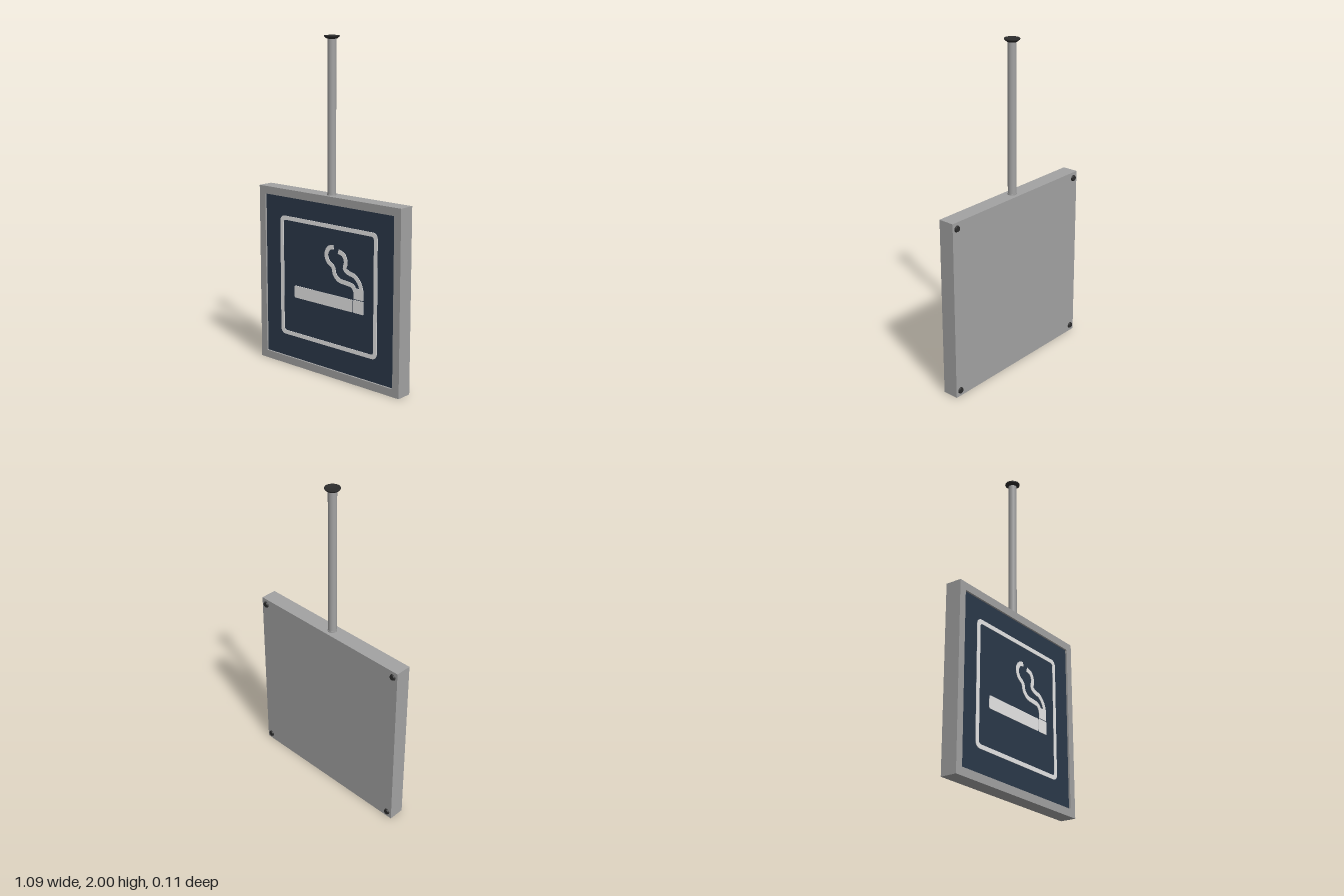
import * as THREE from 'three';

const material = (name, color) => {
  const m = new THREE.MeshStandardMaterial({ color });
  m.name = name;
  return m;
};

export function createModel() {
  const metal = material('grey metal', 0xa2a2a2);
  const navy = material('navy panel', 0x2b394a);
  const white = material('white paint', 0xf2f2f2);
  const black = material('dark fittings', 0x2c2c2c);

  const group = new THREE.Group();
  group.name = 'hangingSign';
  const add = (name, geometry, mat, x = 0, y = 0, z = 0) => {
    const mesh = new THREE.Mesh(geometry, mat);
    mesh.name = name;
    mesh.position.set(x, y, z);
    group.add(mesh);
    return mesh;
  };

  const SIZE = 1.09, BACK = -0.045, FRONT = 0.053, PANEL = 0.042, MID = 0.004;

  // Rounded rectangle outline, used for the housing and the painted border
  const rounded = (Type, x0, y0, x1, y1, r) => {
    const s = new Type();
    s.moveTo(x0 + r, y0);
    s.lineTo(x1 - r, y0);
    s.absarc(x1 - r, y0 + r, r, -Math.PI / 2, 0);
    s.lineTo(x1, y1 - r);
    s.absarc(x1 - r, y1 - r, r, 0, Math.PI / 2);
    s.lineTo(x0 + r, y1);
    s.absarc(x0 + r, y1 - r, r, Math.PI / 2, Math.PI);
    s.lineTo(x0, y0 + r);
    s.absarc(x0 + r, y0 + r, r, Math.PI, Math.PI * 1.5);
    return s;
  };
  const plate = (shape, depth) =>
    new THREE.ExtrudeGeometry(shape, { depth, bevelEnabled: false, curveSegments: 8 });

  // Housing: solid back box with a raised rim around the panel
  const rimDepth = FRONT - PANEL;
  add('housing', new THREE.BoxGeometry(SIZE, SIZE, PANEL - 0.002 - BACK), metal,
    0, SIZE / 2, (PANEL - 0.002 + BACK) / 2);
  const rim = rounded(THREE.Shape, -SIZE / 2, 0, SIZE / 2, SIZE, 0.001);
  rim.holes.push(rounded(THREE.Path, -0.498, 0.047, 0.498, 1.043, 0.004));
  add('rim', plate(rim, rimDepth + 0.002), metal, 0, 0, PANEL - 0.002);
  add('panel', new THREE.BoxGeometry(0.996, 0.996, 0.004), navy, 0, SIZE / 2, PANEL - 0.002);

  // Painted border
  const border = rounded(THREE.Shape, -0.38, 0.185, 0.376, 0.926, 0.035);
  border.holes.push(rounded(THREE.Path, -0.353, 0.21, 0.35, 0.901, 0.018));
  add('border', plate(border, 0.003), white, 0, 0, PANEL);

  // Cigarette body and tip
  add('cigarette', plate(rounded(THREE.Shape, -0.265, 0.432, 0.194, 0.507, 0.008), 0.003),
    white, 0, 0, PANEL);
  add('cigaretteTip', plate(rounded(THREE.Shape, 0.201, 0.432, 0.275, 0.51, 0.003), 0.003),
    white, 0, 0, PANEL);

  // Smoke: flat ribbons of even width along smooth curves
  const ribbon = (points, width) => {
    const curve = new THREE.CatmullRomCurve3(points.map(([x, y]) => new THREE.Vector3(x, y, 0)));
    const left = [], right = [], steps = 40;
    for (let i = 0; i <= steps; i++) {
      const p = curve.getPointAt(i / steps), t = curve.getTangentAt(i / steps);
      left.push(new THREE.Vector2(p.x - t.y * width / 2, p.y + t.x * width / 2));
      right.push(new THREE.Vector2(p.x + t.y * width / 2, p.y - t.x * width / 2));
    }
    return plate(new THREE.Shape([...left, ...right.reverse()]), 0.003);
  };
  add('innerSmoke', ribbon([
    [0.048, 0.795], [0.015, 0.785], [-0.008, 0.748], [0.005, 0.705], [0.045, 0.675],
    [0.057, 0.635], [0.09, 0.605], [0.15, 0.597], [0.195, 0.588], [0.215, 0.555], [0.218, 0.515],
  ], 0.027), white, 0, 0, PANEL);
  add('outerSmoke', ribbon([
    [0.085, 0.775], [0.125, 0.76], [0.142, 0.72], [0.134, 0.68], [0.16, 0.662],
    [0.21, 0.648], [0.247, 0.61], [0.26, 0.565], [0.26, 0.515],
  ], 0.027), white, 0, 0, PANEL);
  add('smokeBase', plate(rounded(THREE.Shape, 0.21, 0.515, 0.273, 0.58, 0.004), 0.003),
    white, 0, 0, PANEL);

  // Pole with a thin collar at its foot
  add('pole', new THREE.CylinderGeometry(0.025, 0.025, 0.895, 32), metal, 0, 1.5375, MID);
  add('poleCollar', new THREE.CylinderGeometry(0.027, 0.027, 0.008, 32), metal, 0, 1.094, MID);

  // Ceiling flange with a shallow dished top
  const profile = [
    [0, 1.98], [0.028, 1.98], [0.043, 1.991], [0.045, 1.996], [0.043, 2],
    [0.03, 2], [0.028, 1.995], [0, 1.995],
  ].map(([r, y]) => new THREE.Vector2(r, y));
  add('ceilingFlange', new THREE.LatheGeometry(profile, 32), black, 0, 0, MID);

  // Corner bolts on the back
  for (const x of [-0.512, 0.512]) {
    for (const y of [0.037, 1.053]) {
      const bolt = add('bolt', new THREE.CylinderGeometry(0.016, 0.02, 0.01, 16), black,
        x, y, BACK - 0.004);
      bolt.rotation.x = -Math.PI / 2;
    }
  }

  return group;
}
